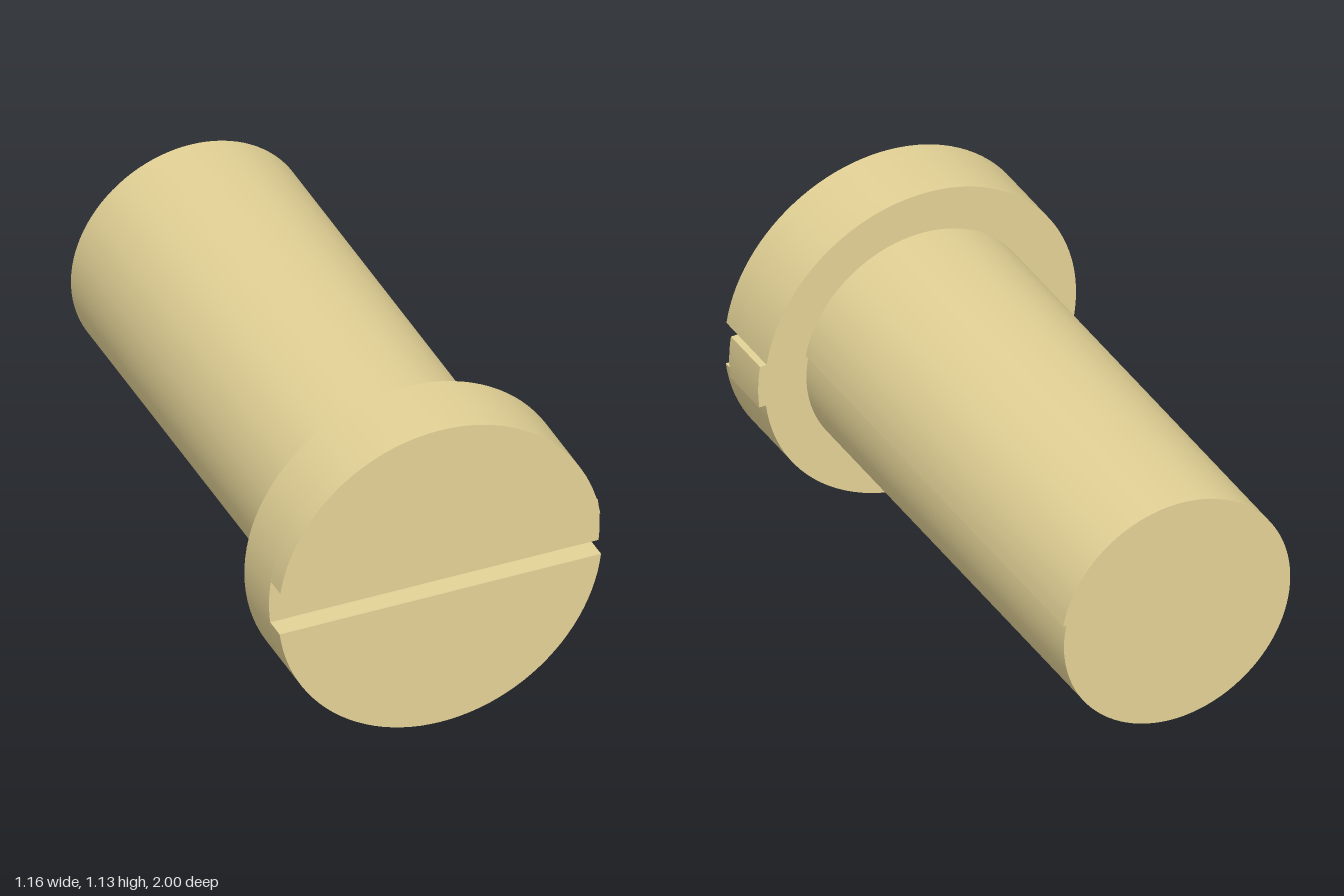
import * as THREE from 'three';
import { toCreasedNormals } from 'three/addons/utils/BufferGeometryUtils.js';

const HEAD = { x: -0.013, y: 0.57, r: 0.567 };
const SHAFT = { x: -0.005, y: 0.568, r: 0.417 };
const SLOT_LOW = 0.5, SLOT_HIGH = 0.657, SLOT_FLOOR = 0.925, HEAD_BACK = 0.73;

// Points along an arc; the radius may vary with the angle
function arc(c, from, to, n, radius = () => c.r) {
  return Array.from({ length: n + 1 }, (_, i) => {
    const a = from + (to - from) * i / n;
    return new THREE.Vector2(c.x + radius(a) * Math.cos(a), c.y + radius(a) * Math.sin(a));
  });
}

export function createModel() {
  const group = new THREE.Group();
  const material = new THREE.MeshStandardMaterial({ color: 0xe3d296 });

  // Solid with the given outline between two z positions
  function addSolid(name, points, z0, z1) {
    const solid = new THREE.ExtrudeGeometry(new THREE.Shape(points), { depth: z1 - z0, bevelEnabled: false });
    solid.translate(0, 0, z0);
    const mesh = new THREE.Mesh(toCreasedNormals(solid, 0.5), material);
    mesh.name = name;
    group.add(mesh);
  }

  const angleAt = (y, r = HEAD.r) => Math.asin((y - HEAD.y) / r);
  const low = angleAt(SLOT_LOW), high = angleAt(SLOT_HIGH);

  // Shaft, with a small lengthwise step on its left side
  const seam = Math.asin(0.077 / SHAFT.r);
  const shaftRadius = a => SHAFT.r - 0.011 * Math.max(0, (a - 1.5 * Math.PI) / (seam + Math.PI / 2));
  addSolid('shaft', arc(SHAFT, seam, seam + 2 * Math.PI, 96, shaftRadius), -1, HEAD_BACK + 0.01);

  // Head disc below the slot, with a shallow tab projecting on its left side
  const tab = { ...HEAD, r: 0.591 };
  addSolid('headBase', [
    ...arc(HEAD, high, low + 2 * Math.PI, 96),
    ...arc(tab, angleAt(SLOT_LOW, tab.r), angleAt(SLOT_HIGH, tab.r), 6),
  ], HEAD_BACK, SLOT_FLOOR);

  // Two halves of the head on either side of the slot
  addSolid('upperHeadHalf', arc(HEAD, high, Math.PI - high, 48), SLOT_FLOOR, 1);
  addSolid('lowerHeadHalf', arc(HEAD, Math.PI - low, 2 * Math.PI + low, 48), SLOT_FLOOR, 1);

  return group;
}
